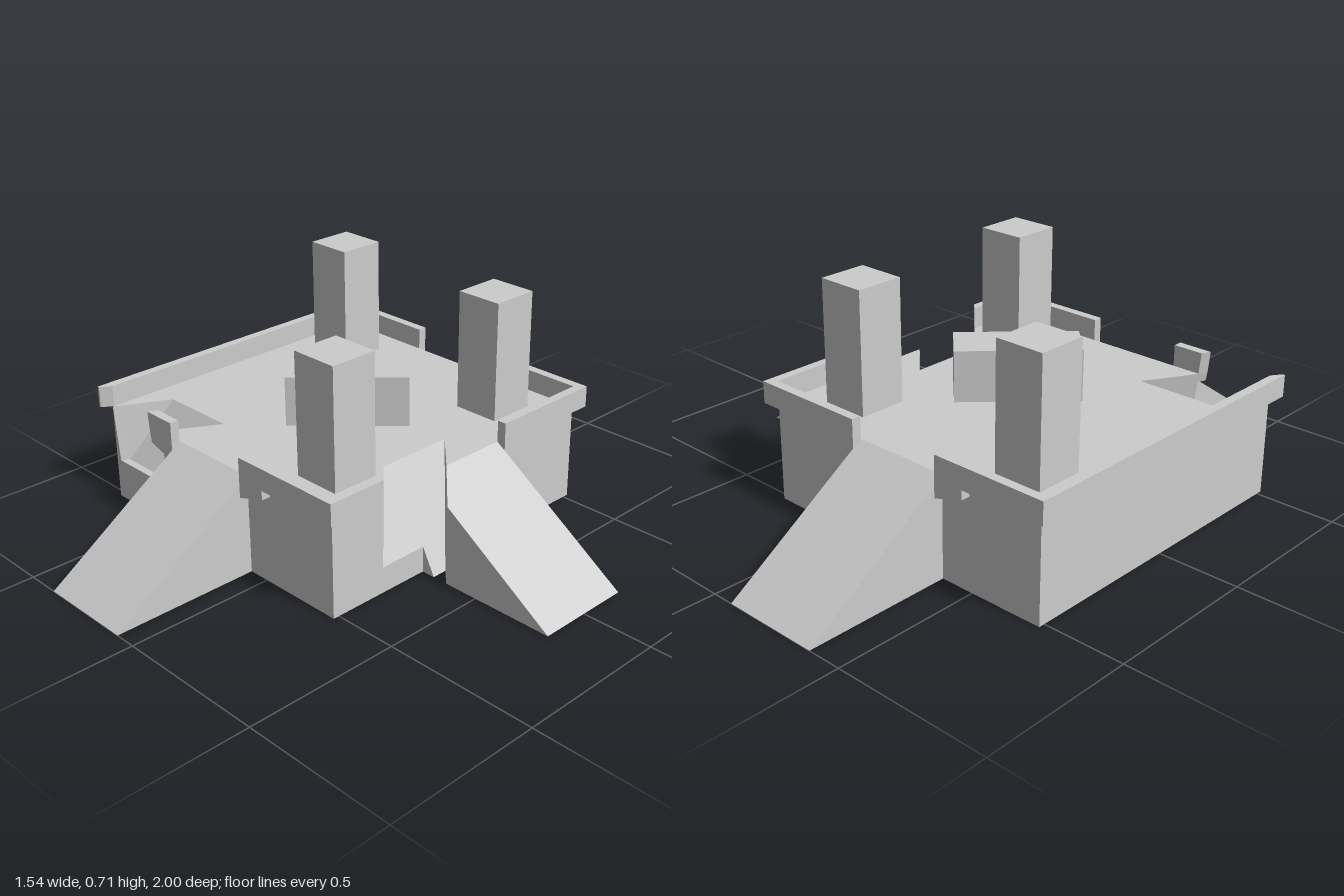
import * as THREE from 'three';

const H = 0.32, TOP = 0.39, T = 0.03; // deck height, parapet top, parapet thickness
const mat = new THREE.MeshStandardMaterial({ color: 0xcccccc, flatShading: true });

// Planar polygons, each [outward direction, [x,y,z]...], triangulated and turned outward
function polygonMesh(name, faces) {
  const out = [];
  for (const [dir, ...pts] of faces) {
    const d = new THREE.Vector3(...dir);
    const ax = dir.map(Math.abs);
    const drop = ax.indexOf(Math.max(...ax));
    const [u, v] = [0, 1, 2].filter((i) => i !== drop);
    const flat = pts.map((p) => new THREE.Vector2(p[u], p[v]));
    for (const tri of THREE.ShapeUtils.triangulateShape(flat, [])) {
      const [a, b, c] = tri.map((i) => new THREE.Vector3(...pts[i]));
      const n = b.clone().sub(a).cross(c.clone().sub(a));
      for (const p of n.dot(d) > 0 ? [a, b, c] : [a, c, b]) out.push(p.x, p.y, p.z);
    }
  }
  const g = new THREE.BufferGeometry();
  g.setAttribute('position', new THREE.Float32BufferAttribute(out, 3));
  g.computeVertexNormals();
  return named(name, g);
}

function named(name, geometry) {
  const m = new THREE.Mesh(geometry, mat);
  m.name = name;
  return m;
}

function box(name, w, h, d, x, y, z) {
  const m = named(name, new THREE.BoxGeometry(w, h, d));
  m.position.set(x, y + h / 2, z);
  return m;
}

const extrude = (pts, depth) => new THREE.ExtrudeGeometry(
  new THREE.Shape(pts.map((p) => new THREE.Vector2(...p))), { depth, bevelEnabled: false });

// Parapet from a ramp edge a to its far end b, with a bracket hanging beside the ramp
function bracketWall(name, a, b) {
  const k = a + 0.1 * Math.sign(b - a);
  return named(name, extrude([[a, TOP], [a, 0.26], [k, 0.29], [k, H], [b, H], [b, TOP]], T));
}

// Parapet drawn in plan as [x, z]
function planWall(name, pts) {
  const g = extrude(pts.map(([x, z]) => [x, -z]), TOP - H);
  g.rotateX(-Math.PI / 2);
  g.translate(0, H, 0);
  return named(name, g);
}

const atY = (y, pts) => pts.map(([x, z]) => [x, y, z]);
const atZ = (z, pts) => pts.map(([x, y]) => [x, y, z]);
const atX = (x, pts) => pts.map(([z, y]) => [x, y, z]);
const rect = (a, b) => [[a, 0], [b, 0], [b, H], [a, H]];

export function createModel() {
  const group = new THREE.Group();
  const L = -0.74, R = 0.29, Z = 0.52, ra = -0.39, rb = -0.07;
  const UP = [0, 1, 0], DOWN = [0, -1, 0], FRONT = [0, 0, 1], BACK = [0, 0, -1], PX = [1, 0, 0], NX = [-1, 0, 0];

  // Square platform with two broken openings in its rim
  group.add(polygonMesh('platform', [
    [UP, ...atY(H, [[L, -Z], [R, -Z], [R, 0.065], [0.165, -0.06], [0.165, 0.2], [R, 0.325],
      [R, Z], [-0.487, Z], [ra, 0.35], [-0.65, 0.35], [L, Z]])],
    [DOWN, ...atY(0, [[L, -Z], [ra, -Z], [ra, -1], [rb, -1], [rb, -Z], [R, -Z], [R, -0.16],
      [0.77, -0.16], [0.77, 0.16], [0.385, 0.16], [0.335, 0.11], [0.335, 0.16], [R, 0.16],
      [R, Z], [rb, Z], [rb, 1], [ra, 1], [ra, Z], [L, Z]])],
    [NX, ...atX(L, rect(-Z, Z))],
    [BACK, ...atZ(-Z, rect(L, ra))],
    [BACK, ...atZ(-Z, rect(rb, R))],
    [FRONT, ...atZ(Z, rect(rb, R))],
    [FRONT, ...atZ(Z, [[L, 0], [ra, 0], [ra, H], [-0.487, H], [-0.465, 0.135], [-0.72, 0.135], [L, H]])],
    [PX, ...atX(R, rect(-Z, -0.16))],
    [PX, ...atX(R, [[0.16, 0], [Z, 0], [Z, H], [0.325, H], [0.325, 0.085], [0.16, 0.085]])],
  ]));

  // Slanted breach in the front corner
  const tl = [-0.65, H, 0.35], tr = [ra, H, 0.35], bl = [-0.708, 0.135, 0.495], br = [-0.448, 0.135, 0.495];
  const fl = [-0.72, 0.135, Z], fr = [-0.465, 0.135, Z];
  group.add(polygonMesh('cornerBreach', [
    [FRONT, tl, tr, br, bl],
    [UP, bl, br, fr, fl],
    [PX, tl, bl, fl, [L, H, Z]],
    [NX, tr, br, fr, [-0.487, H, Z]],
  ]));

  // Diagonal breach between the platform and the side ramp
  const p = [0.165, H, -0.06], q = [0.165, H, 0.2], foot = [0.335, 0, 0.11], lip = [0.385, 0.256, 0.16];
  group.add(polygonMesh('sideBreach', [
    [PX, p, q, [R, 0.085, 0.325], [R, 0.085, 0.16], [0.335, 0, 0.16], foot],
    [[1, 0, -1.01], q, [R, H, 0.325], [R, 0.085, 0.325]],
    [[-1, 0, 1.01], p, [R, H, 0.065], lip, [0.385, 0, 0.16], foot],
    [FRONT, [R, 0, 0.16], [0.335, 0, 0.16], [R, 0.085, 0.16]],
  ]));

  // Ramps
  group.add(polygonMesh('sideRamp', [
    [UP, [R, H, -0.16], [R, H, 0.065], lip, [0.77, 0, 0.16], [0.77, 0, -0.16]],
    [BACK, ...atZ(-0.16, [[R, 0], [R, H], [0.77, 0]])],
    [FRONT, ...atZ(0.16, [[0.385, 0], [0.385, 0.256], [0.77, 0]])],
  ]));
  for (const s of [1, -1]) {
    const side = [[s * Z, 0], [s * Z, H], [s, 0]];
    group.add(polygonMesh(s > 0 ? 'frontRamp' : 'backRamp', [
      [UP, [ra, H, s * Z], [rb, H, s * Z], [rb, 0, s], [ra, 0, s]],
      [NX, ...atX(ra, side)],
      [PX, ...atX(rb, side)],
    ]));
  }

  // Parapets along the front, back and side edges
  const front = bracketWall('frontParapet', rb, R + T);
  front.position.z = Z;
  const backA = bracketWall('backParapetLeft', rb, R + T);
  const backB = bracketWall('backParapetRight', ra, L - T);
  backA.position.z = backB.position.z = -Z - T;
  const side = bracketWall('sideParapetBack', -0.16, -Z);
  side.rotation.y = -Math.PI / 2;
  side.position.x = R + T;
  group.add(front, backA, backB, side);
  group.add(planWall('sideParapetFront', [[R, 0.325], [R + T, 0.355], [R + T, Z], [R, Z]]));
  group.add(planWall('longParapet', [[L - T, -Z], [L, -Z], [L, Z - 0.005], [-0.763, Z + T], [L - T, Z + T]]));

  // Broken stub of the front parapet, its end slanted in plan
  const stub = extrude([[ra, TOP], [ra, 0.26], [-0.48, 0.29], [-0.485, H], [-0.492, TOP]], T);
  const pos = stub.attributes.position;
  for (let i = 0; i < pos.count; i++) {
    if (pos.getX(i) < -0.47 && pos.getZ(i) > T / 2) pos.setX(i, pos.getX(i) - 0.013);
  }
  stub.computeVertexNormals();
  stub.translate(0, 0, Z);
  group.add(named('parapetStub', stub));

  // Pillars and the turned central block
  for (const [x, z] of [[-0.567, -0.34], [0.11, -0.34], [0.11, 0.335]]) {
    group.add(box('pillar', 0.158, 0.39, 0.158, x, H, z));
  }
  const block = box('centreBlock', 0.382, 0.163, 0.156, -0.165, H, 0.03);
  block.rotation.y = Math.PI / 4;
  group.add(block);

  return group;
}
